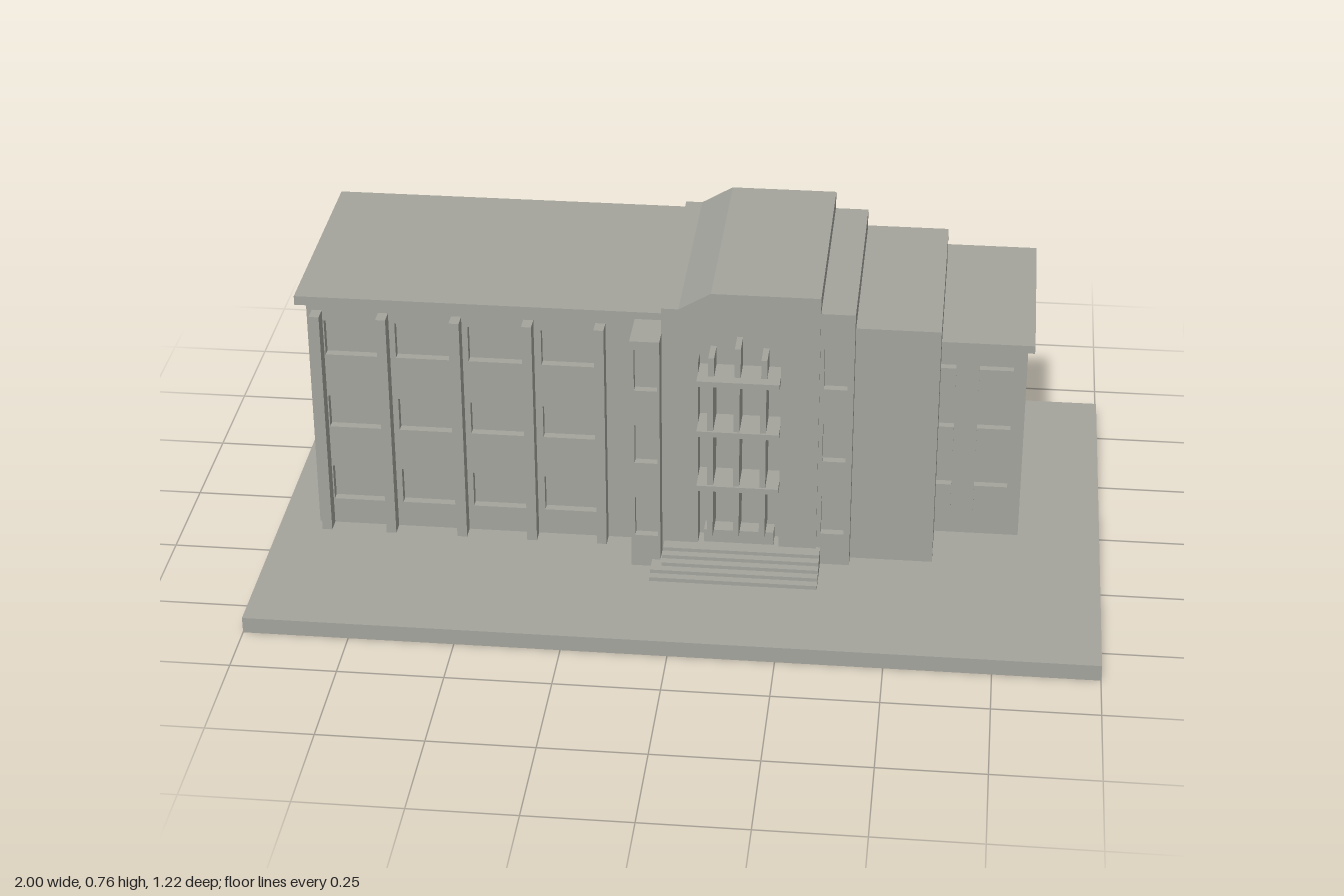
import * as THREE from 'three';

export function createModel() {
  const model = new THREE.Group();
  const stone = new THREE.MeshStandardMaterial({ color: 0xa4a49d });
  stone.name = 'warm grey stone';

  const add = (name, geometry) => {
    const mesh = new THREE.Mesh(geometry, stone);
    mesh.name = name;
    model.add(mesh);
    return mesh;
  };
  // Box given by its limits on each axis
  const box = (name, x0, x1, y0, y1, z0, z1) => {
    const mesh = add(name, new THREE.BoxGeometry(x1 - x0, y1 - y0, z1 - z0));
    mesh.position.set((x0 + x1) / 2, (y0 + y1) / 2, (z0 + z1) / 2);
    return mesh;
  };
  const outline = (points) => new THREE.Shape(points.map(([x, y]) => new THREE.Vector2(x, y)));
  const rect = (x0, x1, y0, y1) => outline([[x0, y0], [x1, y0], [x1, y1], [x0, y1]]);
  // Upright slab with openings
  const wall = (name, shape, holes, z0, z1) => {
    shape.holes = holes;
    const geometry = new THREE.ExtrudeGeometry(shape, { depth: z1 - z0, bevelEnabled: false, curveSegments: 16 });
    add(name, geometry).position.z = z0;
  };
  const G = 0.04; // ground level on the plinth

  box('plinth', -1, 1, 0, G, -0.612, 0.612);

  // West wing: body, pierced front wall, pilasters and flat roof
  const westRows = [[0.107, 0.2], [0.31, 0.395], [0.508, 0.6]];
  const westCols = [[-0.865, -0.74], [-0.695, -0.567], [-0.52, -0.39], [-0.345, -0.215]];
  const westHoles = westCols.flatMap(([a, b]) => westRows.map(([c, d]) => rect(a, b, c, d)));
  box('westWingBody', -0.905, 0.03, G, 0.645, -0.38, 0.145);
  wall('westWingFront', rect(-0.905, -0.1, G, 0.645), westHoles, 0.145, 0.166);
  box('westRoof', -0.93, 0.05, 0.645, 0.668, -0.395, 0.179);
  for (const x of [-0.88, -0.721, -0.546, -0.374, -0.203]) {
    box('pilaster', x - 0.012, x + 0.012, G, 0.627, 0.16, 0.203);
  }

  // Narrow windowed bays on both sides of the tower
  const bayRows = [[0.125, 0.23], [0.325, 0.427], [0.52, 0.628]];
  const bay = (name, x0, x1, top, back, front, w0, w1) => {
    box(name + 'Body', x0, x1, G, top, back, front - 0.02);
    wall(name + 'Front', rect(x0, x1, G, top), bayRows.map(([c, d]) => rect(w0, w1, c, d)), front - 0.02, front);
  };
  bay('leftBay', -0.12, -0.05, 0.65, 0.1, 0.29, -0.11, -0.056);
  bay('rightBay', 0.32, 0.4, 0.718, -0.32, 0.24, 0.33, 0.385);

  // Entrance tower with shouldered top and arched recess
  const towerOutline = () => outline([[-0.05, G], [0.32, G], [0.32, 0.76], [0.065, 0.76], [-0.01, 0.716], [-0.05, 0.716]]);
  const cx = 0.133, r = 0.097;
  const arch = new THREE.Path();
  arch.moveTo(cx - r, 0.08);
  arch.lineTo(cx + r, 0.08);
  arch.lineTo(cx + r, 0.573);
  arch.absarc(cx, 0.573, r, 0, Math.PI, false);
  arch.lineTo(cx - r, 0.08);
  wall('towerBody', towerOutline(), [], -0.325, 0.2);
  wall('towerFront', towerOutline(), [arch], 0.2, 0.246);

  // Shelves, mullions and threshold inside the arch
  for (const y of [0.263, 0.411, 0.545]) {
    box('archShelf', cx - r, cx + r, y - 0.007, y + 0.007, 0.19, 0.289);
  }
  for (const [x, top] of [[0.068, 0.6], [0.13, 0.627], [0.192, 0.6]]) {
    box('upperMullion', x - 0.007, x + 0.007, 0.545, top, 0.19, 0.262);
    box('lowerMullion', x - 0.007, x + 0.007, 0.13, 0.545, 0.19, 0.283);
  }
  box('threshold', 0.05, 0.217, 0.065, 0.12, 0.19, 0.24);

  // Entrance steps
  for (let i = 0; i < 5; i++) {
    const side = i < 2 ? 0 : 0.025;
    box('step', -0.07 + side, 0.33, G, 0.05 + i * 0.009, 0.2, 0.357 - i * 0.02);
  }

  // Stepped block and east wing with projecting windows
  box('steppedBlock', 0.385, 0.598, G, 0.666, -0.338, 0.205);
  box('eastWingBody', 0.32, 0.802, G, 0.55, -0.432, 0.062);
  box('eastRoof', 0.3, 0.818, 0.55, 0.57, -0.447, 0.072);
  for (const y of [0.11, 0.27, 0.43]) {
    box('eastWindow', 0.59, 0.635, y, y + 0.075, 0.05, 0.081);
    box('eastWindow', 0.69, 0.77, y, y + 0.075, 0.05, 0.081);
  }
  return model;
}
